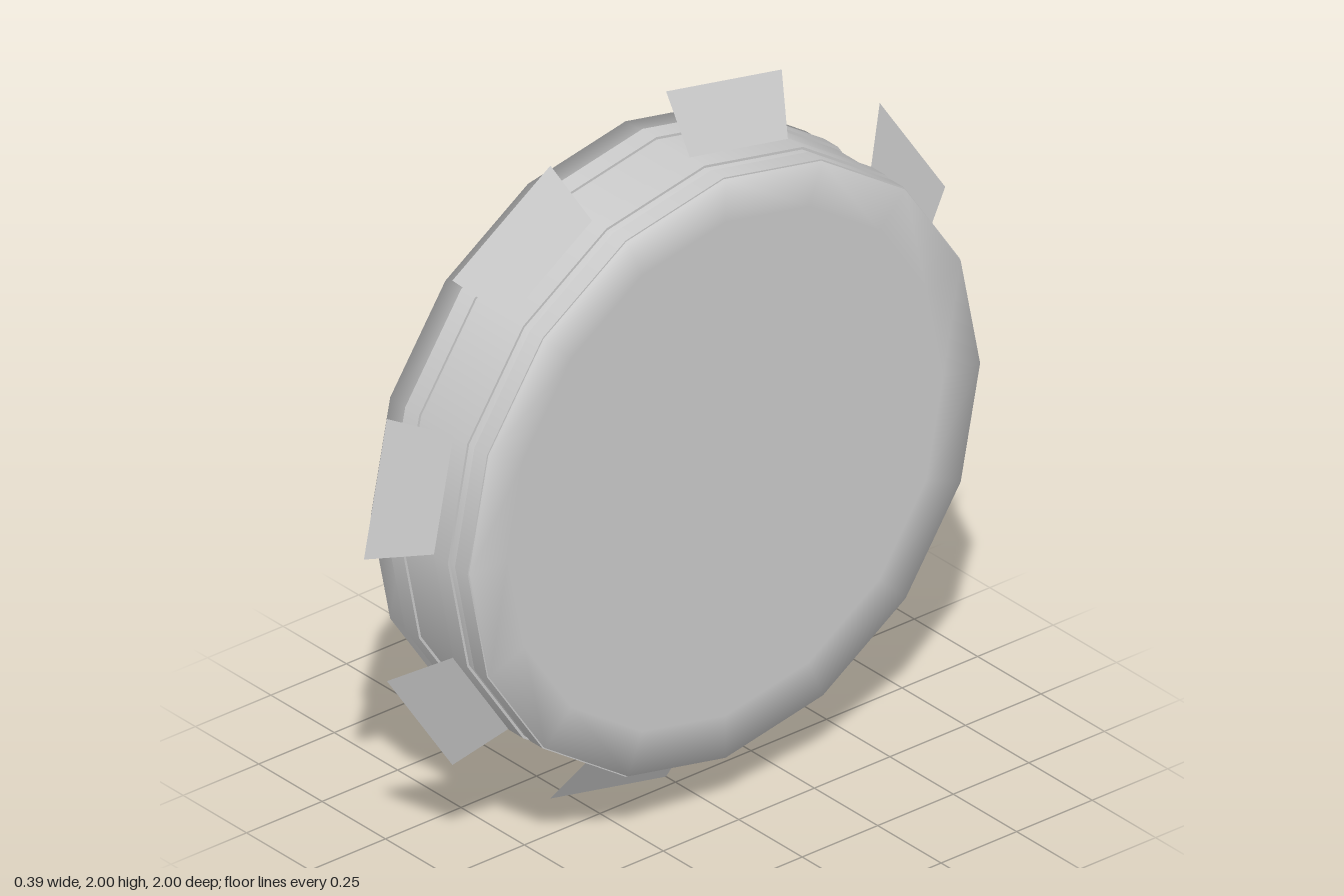
import * as THREE from 'three';

const SIDES = 16;
const STEP = (Math.PI * 2) / SIDES;
const R = 0.843;        // drum radius
const HALF = 0.197;     // half thickness along x

export function createModel() {
  const group = new THREE.Group();
  const material = new THREE.MeshStandardMaterial({ color: 0xcccccc });
  const bladeMaterial = new THREE.MeshStandardMaterial({
    color: 0xcccccc, side: THREE.DoubleSide, flatShading: true,
  });

  function add(name, geometry, mat = material) {
    const mesh = new THREE.Mesh(geometry, mat);
    mesh.name = name;
    group.add(mesh);
    return mesh;
  }

  // Drum: closed disc around the x axis, shaded softly over the rim
  const profile = [
    [0, -HALF], [R, -HALF], [R, -0.07], [R, 0.06], [R, HALF], [0.72, HALF], [0, HALF],
  ].map(([r, x]) => new THREE.Vector2(r, x));
  add('drum', new THREE.LatheGeometry(profile, SIDES).rotateZ(-Math.PI / 2));

  // Slightly raised bands around the rim
  function band(name, x0, x1, radius) {
    const geometry = new THREE.CylinderGeometry(radius, radius, x1 - x0, SIDES);
    geometry.rotateZ(-Math.PI / 2).translate((x0 + x1) / 2, 0, 0);
    add(name, geometry);
  }
  band('rearBand', -0.13, -0.075, 0.85);
  band('middleBand', 0.06, 0.115, 0.85);
  band('frontBand', 0.14, 0.19, 0.847);

  // Blades: slanted plates flaring outwards from every second side
  const root = { x: 0.058, r: 0.846 };
  const tip = { x: -0.037, r: 1 };
  const corner = ({ x, r }, a) => [x, r * Math.cos(a), -r * Math.sin(a)];
  for (let i = 0; i < SIDES; i += 2) {
    const a = i * STEP, b = a + STEP;
    const geometry = new THREE.BufferGeometry();
    geometry.setAttribute('position', new THREE.Float32BufferAttribute(
      [...corner(root, a), ...corner(root, b), ...corner(tip, b), ...corner(tip, a)], 3));
    geometry.setIndex([0, 1, 2, 0, 2, 3]);
    geometry.computeVertexNormals();
    // Turn the plate's front towards +x
    if (geometry.attributes.normal.getX(0) < 0) {
      geometry.setIndex([0, 2, 1, 0, 3, 2]);
      geometry.computeVertexNormals();
    }
    add('blade', geometry, bladeMaterial);
  }

  group.position.y = 1;
  return group;
}
